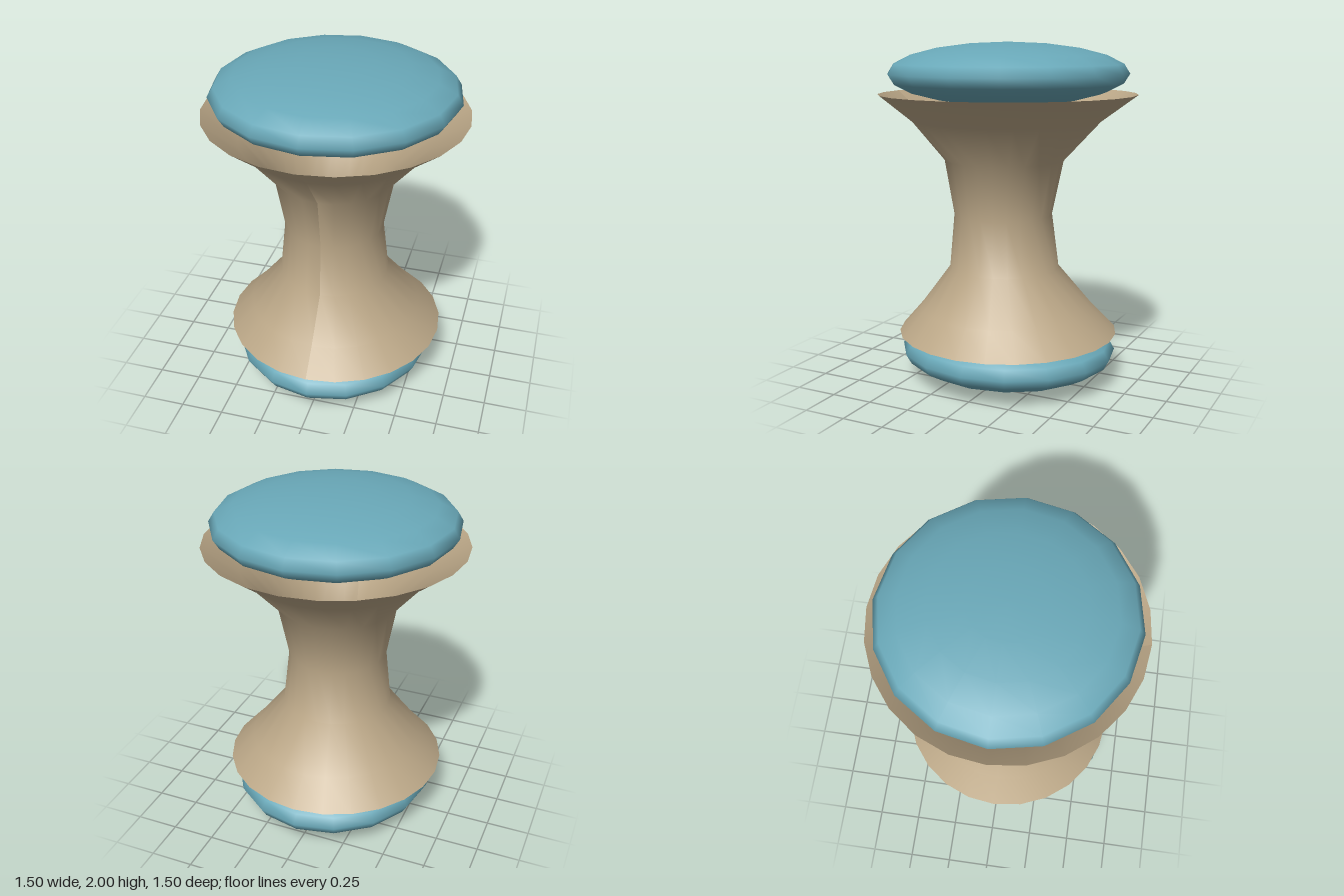
import * as THREE from 'three';

const teal = new THREE.MeshStandardMaterial({ color: 0x69a8b8 });
const tan = new THREE.MeshStandardMaterial({ color: 0xbca888, side: THREE.DoubleSide });

// Flattened sphere used for both ends
function cushion(name, rx, rz, halfHeight, y) {
  const mesh = new THREE.Mesh(new THREE.SphereGeometry(1, 16, 10), teal);
  mesh.name = name;
  mesh.scale.set(rx, halfHeight, rz);
  mesh.position.y = y;
  return mesh;
}

// Open, waisted shell: [radius, height] profile, leaning slightly forward at the waist
function waistedBody() {
  const profile = [
    [0.65, 0.295], [0.515, 0.44], [0.325, 0.68], [0.29, 1.0],
    [0.35, 1.32], [0.55, 1.55], [0.75, 1.705],
  ].map(([r, y]) => new THREE.Vector2(r, y));
  const geometry = new THREE.LatheGeometry(profile, 24);
  const pos = geometry.attributes.position;
  for (let i = 0; i < pos.count; i++) {
    const t = (pos.getY(i) - 0.295) / 1.41;
    pos.setZ(i, pos.getZ(i) + 0.03 * Math.sin(Math.PI * t));
  }
  geometry.computeVertexNormals();
  const mesh = new THREE.Mesh(geometry, tan);
  mesh.name = 'body';
  return mesh;
}

export function createModel() {
  const group = new THREE.Group();
  group.name = 'stool';
  group.add(
    waistedBody(),
    cushion('seatCushion', 0.7, 0.7, 0.18, 1.82),
    cushion('baseCushion', 0.6, 0.65, 0.18, 0.18),
  );
  return group;
}
